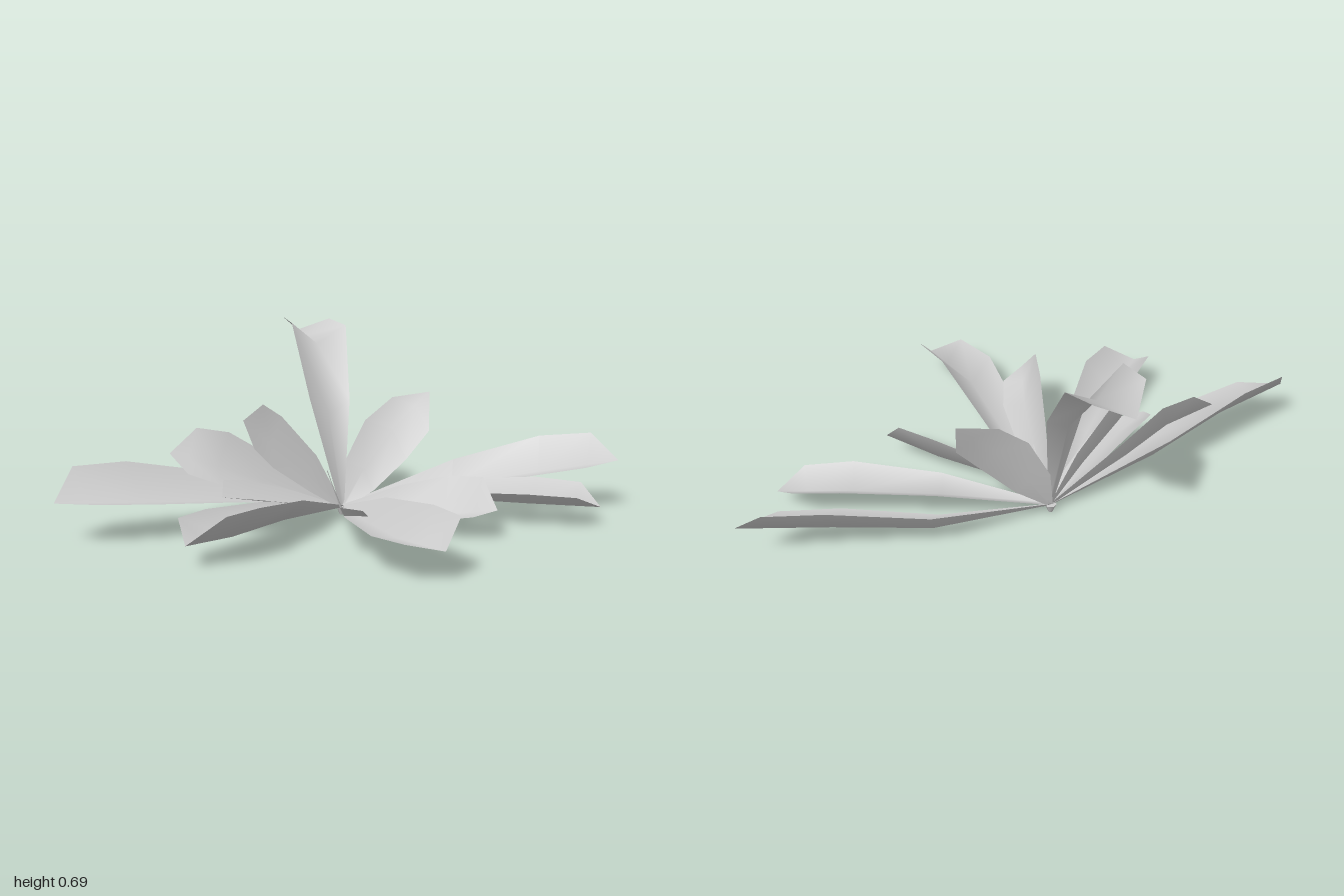
import * as THREE from 'three';

const material = new THREE.MeshStandardMaterial({ color: 0xcccccc, side: THREE.DoubleSide });
const base = new THREE.Vector3(0.005, 0.025, -0.27);
const vec = (p) => new THREE.Vector3(...p);

// A folded leaf: midrib points, then the two rims beside its widest point.
function leaf(name, rib1, rib2, tipPoint, rimA, rimB) {
  const [m1, m2, tip, a, b] = [rib1, rib2, tipPoint, rimA, rimB].map(vec);
  const reach = tip.clone().sub(m2);
  // Each row is a midrib point and the share of the full width it has.
  const rows = [[base, 0.08], [m1, 0.72], [m2, 1], [m2.clone().addScaledVector(reach, 0.65), 0.88]];
  const points = [];
  rows.forEach(([mid, width], i) => {
    const rib = i === 3 ? m2.clone().lerp(tip, 0.6) : mid;
    for (const rim of [a, null, b]) {
      points.push(rim ? mid.clone().addScaledVector(rim.clone().sub(m2), width) : rib);
    }
  });
  points.push(tip);

  const index = [];
  for (let r = 0; r < 3; r++) {
    for (let c = 0; c < 2; c++) {
      const i = r * 3 + c;
      index.push(i, i + 1, i + 3, i + 1, i + 4, i + 3);
    }
  }
  index.push(9, 10, 12, 10, 11, 12);

  const geometry = new THREE.BufferGeometry().setFromPoints(points);
  geometry.setIndex(index);
  geometry.computeVertexNormals();
  const mesh = new THREE.Mesh(geometry, material);
  mesh.name = name;
  return mesh;
}

export function createModel() {
  const group = new THREE.Group();
  group.name = 'leafRosette';

  group.add(
    // Long side leaves
    leaf('rightLongLeaf', [-0.4, 0.08, -0.26], [-0.72, 0.11, -0.2], [-1, 0.13, -0.18], [-0.75, 0.235, -0.285], [-0.68, 0.12, -0.1]),
    leaf('leftLongLeaf', [0.42, 0.08, -0.25], [0.72, 0.13, -0.15], [1, 0.17, -0.06], [0.76, 0.25, -0.22], [0.66, 0.13, -0.08]),
    // Upright back leaf
    leaf('backLeaf', [-0.03, 0.36, -0.31], [-0.01, 0.59, -0.5], [-0.03, 0.63, -0.68], [-0.115, 0.67, -0.47], [0.1, 0.655, -0.5]),
    // Front leaves, lying low
    leaf('frontLeaf', [-0.02, 0.045, 0.02], [-0.05, 0.075, 0.42], [0, 0.09, 0.67], [-0.165, 0.11, 0.5], [0.05, 0.18, 0.46]),
    leaf('rightFrontLeaf', [-0.28, 0.055, -0.02], [-0.5, 0.06, 0.17], [-0.67, 0.07, 0.28], [-0.57, 0.14, 0.11], [-0.43, 0.16, 0.24]),
    leaf('leftFrontLeaf', [0.32, 0.07, -0.1], [0.57, 0.065, 0.06], [0.79, 0.06, 0.18], [0.64, 0.14, -0.02], [0.53, 0.115, 0.145]),
    // Short front leaves
    leaf('rightShortLeaf', [-0.08, 0.06, 0], [-0.14, 0.1, 0.18], [-0.2, 0.16, 0.32], [-0.18, 0.24, 0.14], [-0.07, 0.1, 0.21]),
    leaf('leftShortLeaf', [0.12, 0.045, -0.04], [0.24, 0.06, 0.1], [0.365, 0.095, 0.25], [0.28, 0.18, 0.05], [0.19, 0.055, 0.16]),
    // Raised leaves at the back and side
    leaf('leftRaisedLeaf', [0.09, 0.16, -0.27], [0.19, 0.3, -0.25], [0.325, 0.43, -0.235], [0.1, 0.33, -0.29], [0.22, 0.2, -0.19]),
    leaf('rightRaisedLeaf', [-0.12, 0.15, -0.26], [-0.26, 0.27, -0.25], [-0.36, 0.36, -0.23], [-0.21, 0.36, -0.28], [-0.27, 0.2, -0.19]),
    leaf('rightUpperLeaf', [-0.28, 0.14, -0.28], [-0.44, 0.2, -0.27], [-0.6, 0.25, -0.3], [-0.39, 0.31, -0.31], [-0.45, 0.15, -0.2]),
    leaf('rightLowerLeaf', [-0.16, 0.06, -0.2], [-0.33, 0.1, -0.13], [-0.47, 0.13, -0.09], [-0.36, 0.16, -0.2], [-0.26, 0.1, -0.08]),
  );

  // Small crown where the leaves meet
  const crown = new THREE.Mesh(new THREE.CylinderGeometry(0.02, 0.008, 0.03, 6), material);
  crown.name = 'crown';
  crown.position.set(base.x, 0.015, base.z);
  group.add(crown);
  return group;
}
